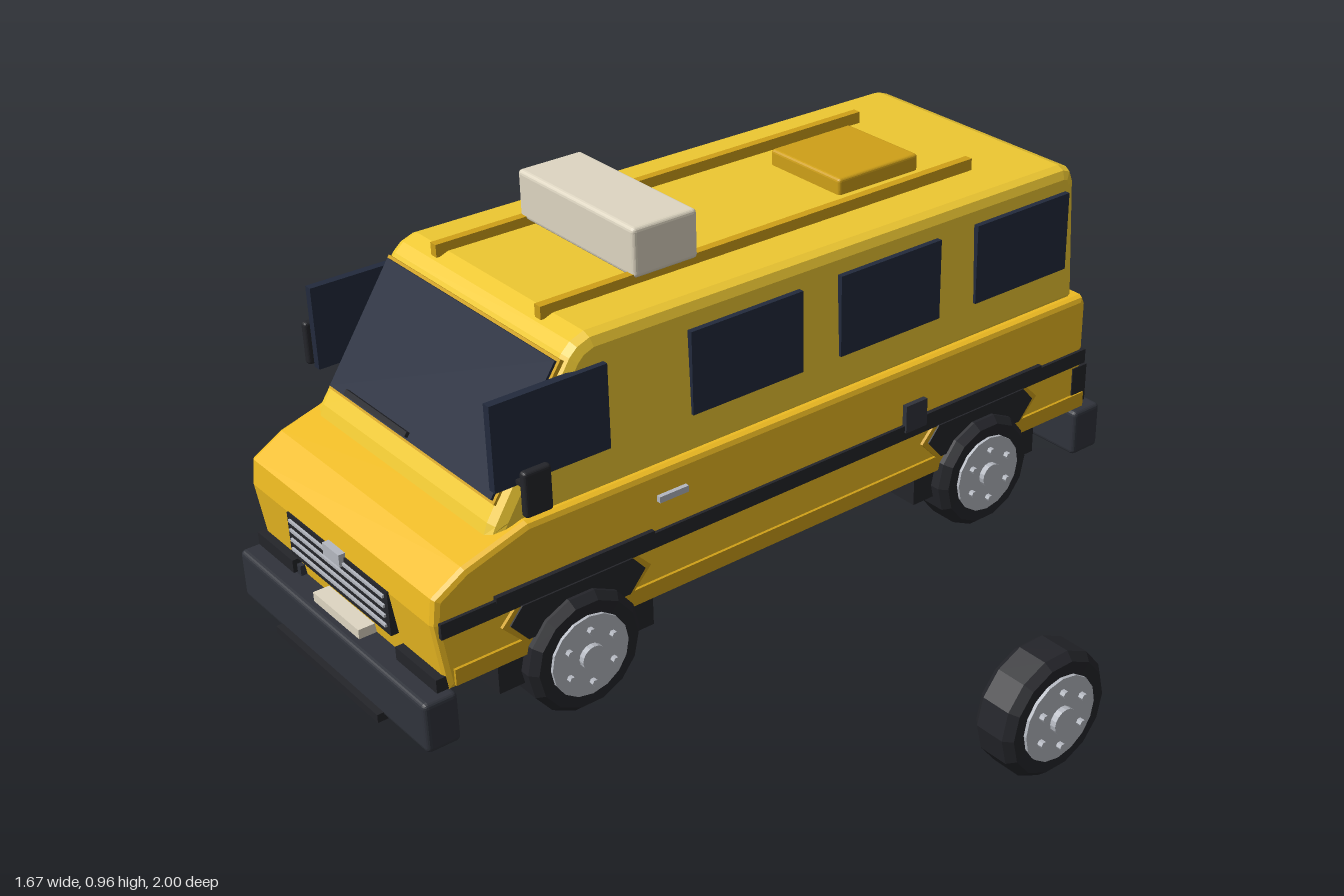
import * as THREE from 'three';
import { RoundedBoxGeometry } from 'three/addons/geometries/RoundedBoxGeometry.js';

const paint = (color) => new THREE.MeshStandardMaterial({ color, flatShading: true });
const M = {
  body: paint(0xeebb22), cabin: paint(0xeec832), trim: paint(0xcfa018), black: paint(0x24252a),
  bumper: paint(0x30333b), glass: paint(0x222a3c), metal: paint(0xb4b8c0), beige: paint(0xded6c2),
};

function add(parent, name, geometry, material) {
  const mesh = new THREE.Mesh(geometry, material);
  mesh.name = name;
  parent.add(mesh);
  return mesh;
}

// Box given by its lower and upper limits on each axis; r rounds the edges
function box(parent, name, material, [x0, x1], [y0, y1], [z0, z1], r = 0) {
  const s = [x1 - x0, y1 - y0, z1 - z0];
  const g = r ? new RoundedBoxGeometry(...s, 2, r) : new THREE.BoxGeometry(...s);
  const mesh = add(parent, name, g, material);
  mesh.position.set((x0 + x1) / 2, (y0 + y1) / 2, (z0 + z1) / 2);
  return mesh;
}

// Side profile of [z, y] points, extruded across x with bevelled edges
function profile(points, half, bevel) {
  const g = new THREE.ExtrudeGeometry(new THREE.Shape(points.map((p) => new THREE.Vector2(...p))), {
    depth: 2 * (half - bevel), bevelEnabled: bevel > 0, bevelSize: bevel, bevelThickness: bevel,
    bevelOffset: -bevel, bevelSegments: 2,
  });
  return g.translate(0, 0, bevel - half).rotateY(-Math.PI / 2);
}

// Wheel with its outer face towards +x
function wheel(name, bothSides) {
  const w = new THREE.Group();
  w.name = name;
  const tyre = [[0.09, -0.05], [0.128, -0.053], [0.144, -0.035], [0.144, 0.035], [0.128, 0.053], [0.09, 0.05]];
  const pts = [[0, -0.044], [0.09, -0.044], ...tyre, [0.09, 0.044], [0, 0.044]];
  add(w, 'tyre', new THREE.LatheGeometry(pts.map((p) => new THREE.Vector2(...p)), 14).rotateZ(-Math.PI / 2), M.black);
  for (const s of bothSides ? [1, -1] : [1]) {
    const disc = (n, r, len, x, y = 0, z = 0, seg = 16) => add(w, n,
      new THREE.CylinderGeometry(r, r, len, seg).rotateZ(Math.PI / 2).translate(s * x, y, z), M.metal);
    disc('rim', 0.098, 0.02, 0.048);
    disc('hubCap', 0.03, 0.02, 0.062);
    for (let i = 0; i < 6; i++) {
      const a = (i / 6) * Math.PI * 2;
      disc('wheelBolt', 0.008, 0.016, 0.062, 0.065 * Math.cos(a), 0.065 * Math.sin(a), 6);
    }
  }
  return w;
}

export function createModel() {
  const model = new THREE.Group();
  model.name = 'camperVan';
  const van = new THREE.Group();
  van.name = 'van';
  van.position.x = -0.395;
  model.add(van);

  // Lower body with sloping bonnet
  add(van, 'lowerBody', profile([[0.915, 0.175], [0.938, 0.34], [0.93, 0.4], [0.855, 0.445], [0.70, 0.492],
    [-0.925, 0.492], [-0.935, 0.47], [-0.935, 0.175]], 0.377, 0.015), M.body);

  // Cabin, narrowing slightly towards the roof
  const cabin = profile([[0.775, 0.47], [0.765, 0.495], [0.557, 0.805], [0.535, 0.825], [0.50, 0.838],
    [-0.87, 0.83], [-0.897, 0.82], [-0.908, 0.79], [-0.915, 0.47]], 0.355, 0.028);
  const p = cabin.attributes.position;
  for (let i = 0; i < p.count; i++) p.setX(i, p.getX(i) * (1 - 0.1 * (p.getY(i) - 0.47)));
  cabin.computeVertexNormals();
  add(van, 'cabin', cabin, M.cabin);

  // Windscreen, frame and wiper lying on the front slope
  const screen = new THREE.Group();
  screen.name = 'windscreen';
  screen.position.set(0, 0.662, 0.653);
  screen.rotation.x = Math.atan2(-0.208, 0.31);
  van.add(screen);
  box(screen, 'windscreenFrame', M.trim, [-0.328, 0.328], [-0.162, 0.162], [-0.015, 0.005]);
  box(screen, 'windscreenGlass', M.glass, [-0.32, 0.32], [-0.155, 0.155], [-0.01, 0.011]);
  box(screen, 'wiper', M.black, [-0.25, 0.0], [-0.15, -0.138], [0.01, 0.02]);
  box(van, 'rearWindow', M.glass, [-0.31, 0.31], [0.575, 0.77], [-0.92, -0.89]);

  // Parts on both sides
  for (const s of [1, -1]) {
    const side = new THREE.Group();
    side.name = s > 0 ? 'leftSide' : 'rightSide';
    van.add(side);
    const sideBox = (name, mat, x, y, z, r) =>
      box(side, name, mat, s > 0 ? x : [-x[1], -x[0]], y, z, r);

    const windows = [[0.475, 0.76], [-0.455, -0.155], [-0.87, -0.57]];
    if (s > 0) windows.push([-0.045, 0.26]);
    for (const z of windows) sideBox('sideWindow', M.glass, [0.338, 0.358], [0.575, 0.772], z);
    sideBox('sideStripe', M.black, [0.36, 0.385], [0.31, 0.347], [-0.935, 0.925]);
    sideBox('sill', M.trim, [0.36, 0.384], [0.187, 0.226], [-0.938, 0.9]);
    sideBox('roofRail', M.trim, [0.187, 0.208], [0.83, 0.86], [-0.69, 0.53]);
    sideBox('mirrorArm', M.black, [0.35, 0.43], [0.58, 0.59], [0.695, 0.71]);
    sideBox('mirror', M.black, [0.42, 0.441], [0.545, 0.65], [0.675, 0.742], 0.008);
    sideBox('doorHandle', M.metal, [0.37, 0.388], [0.417, 0.432], [0.3, 0.377]);
    sideBox('headlamp', M.black, [0.215, 0.372], [0.18, 0.212], [0.88, 0.94]);
    sideBox('rearLamp', M.black, [0.25, 0.38], [0.2, 0.3], [-0.948, -0.9]);
    for (const z of [0.9, -0.93]) sideBox('bumperBracket', M.bumper, [0.2, 0.25], [0.1, 0.2], [z - 0.03, z + 0.03]);

    // Wheels with their arches and wells
    for (const z of [0.594, -0.577]) {
      const end = z > 0 ? 'front' : 'rear';
      const arch = (name, k, half, mat) => add(side, name, profile([[-0.13 * k, 0.226], [0.13 * k, 0.226],
        [0.172 * k, 0.275], [0.14 * k, 0.312], [-0.14 * k, 0.312], [-0.172 * k, 0.275]], half, 0), mat)
        .position.set(s * 0.365, 0, z);
      arch('archSurround', 1.1, 0.02, M.trim);
      arch('wheelArch', 1, 0.024, M.black);
      sideBox('archTrim', M.black, [0.365, 0.388], [0.343, 0.356], [z - 0.2, z + 0.2]);
      sideBox('wheelWell', M.black, [0.2, 0.372], [0.11, 0.19], [z - 0.2, z + 0.2]);
      const w = wheel(end + 'Wheel', false);
      w.position.set(s * 0.362, 0.143, z);
      if (s < 0) w.rotation.y = Math.PI;
      side.add(w);
    }
  }
  box(van, 'fuelFlap', M.bumper, [0.36, 0.39], [0.33, 0.4], [-0.395, -0.33]);

  // Sliding side door standing proud of the right side
  const door = new THREE.Group();
  door.name = 'slidingDoor';
  van.add(door);
  box(door, 'doorPanel', M.body, [-0.397, -0.35], [0.175, 0.708], [0.03, 0.47], 0.008);
  box(door, 'doorWindow', M.glass, [-0.402, -0.39], [0.45, 0.675], [0.08, 0.44]);
  box(door, 'doorStripe', M.black, [-0.401, -0.39], [0.31, 0.347], [0.03, 0.47]);

  // Front grille with slats
  box(van, 'grille', M.black, [-0.207, 0.207], [0.235, 0.342], [0.9, 0.942]);
  for (let i = 0; i < 4; i++) {
    const y = 0.252 + i * 0.024;
    box(van, 'grilleSlat', M.metal, [-0.195, 0.195], [y, y + 0.007], [0.93, 0.947]);
  }
  box(van, 'bonnetCatch', M.metal, [-0.034, 0.034], [0.322, 0.352], [0.92, 0.953]);

  // Bumpers and plates
  box(van, 'frontBumper', M.bumper, [-0.388, 0.388], [0.053, 0.175], [0.9, 0.982], 0.012);
  box(van, 'frontSkidPlate', M.black, [-0.215, 0.215], [0.045, 0.065], [0.93, 0.998]);
  box(van, 'rearBumper', M.bumper, [-0.388, 0.388], [0.053, 0.175], [-1, -0.91], 0.012);
  box(van, 'frontPlate', M.beige, [-0.095, 0.095], [0.165, 0.198], [0.9, 0.958]);
  box(van, 'rearPlate', M.beige, [-0.095, 0.095], [0.165, 0.205], [-0.965, -0.93]);
  box(van, 'tailgateHandle', M.black, [-0.19, 0.19], [0.222, 0.236], [-0.945, -0.92]);

  // Roof fittings
  box(van, 'roofUnit', M.beige, [-0.213, 0.213], [0.85, 0.965], [0.125, 0.295], 0.01);
  box(van, 'roofHatch', M.trim, [-0.12, 0.125], [0.82, 0.872], [-0.595, -0.35], 0.008);

  // Loose spare wheel standing beside the van
  const spare = wheel('spareWheel', true);
  spare.position.set(0.76, 0.143, 0);
  model.add(spare);
  return model;
}
